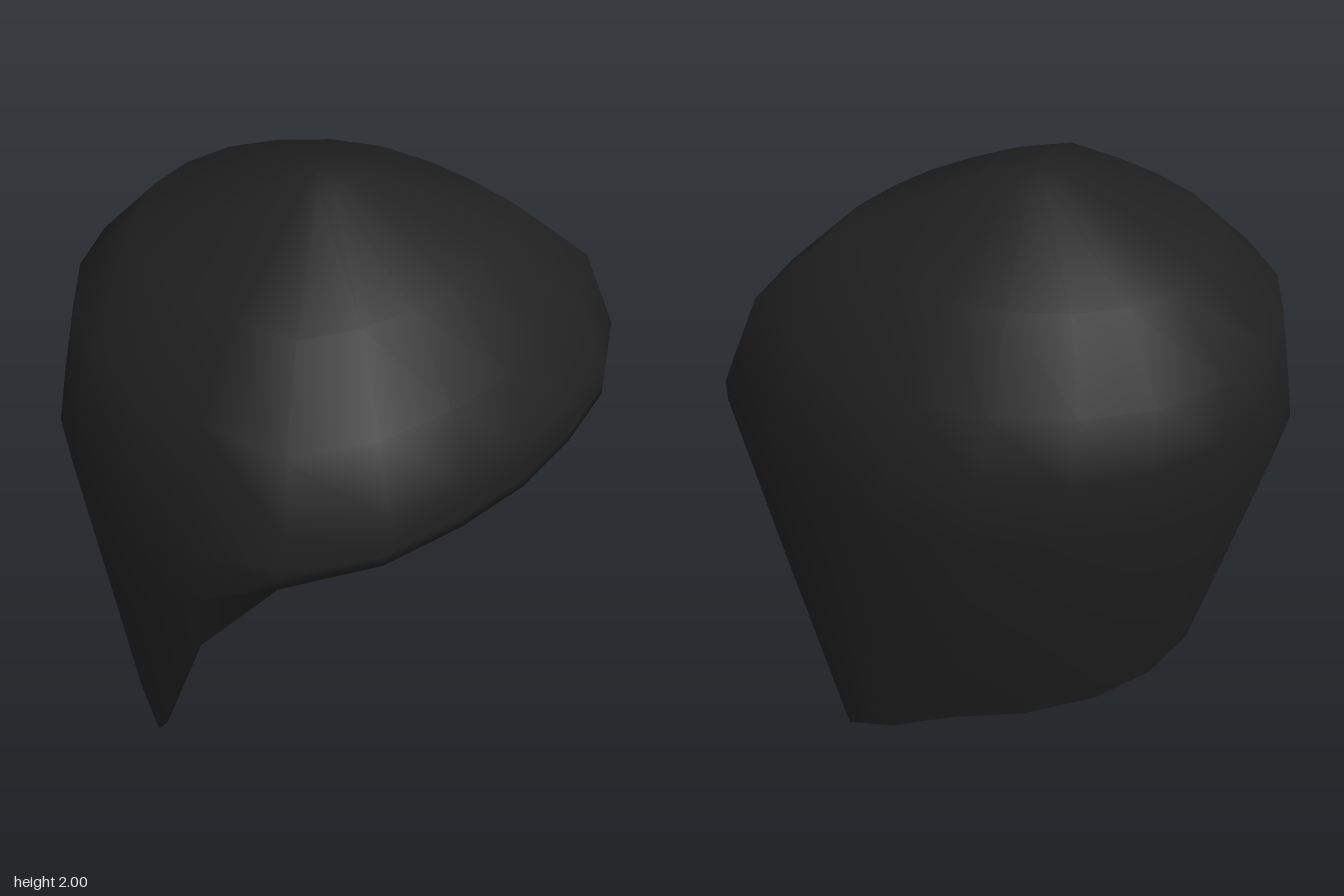
import * as THREE from 'three';

// Half outline at the widest level, from back centre round to front centre: [x, z]
const OUTLINE = [[0, -0.92], [0.3, -0.88], [0.56, -0.75], [0.785, -0.55], [0.93, -0.3], [0.975, 0],
  [0.965, 0.29], [0.91, 0.65], [0.61, 0.82], [0.3, 0.89], [0, 0.918]];

// Lower rim below each outline point: [x, y, z]
const RIM = [[0, 0.125, -0.64], [0.25, 0.125, -0.6], [0.5, 0.125, -0.48], [0.7, 0.115, -0.31],
  [0.86, 0.06, -0.15], [0.93, 0, 0.02], [0.955, 0.66, 0.3], [0.91, 1.14, 0.65],
  [0.61, 1.14, 0.82], [0.3, 1.14, 0.89], [0, 1.14, 0.918]];

// Levels from crown to widest ring: [y, x scale, front z scale, back z scale]
const LEVELS = [[2, 0.13, 0.14, 0.16], [1.785, 0.615, 0.63, 0.72], [1.545, 0.87, 0.89, 0.97],
  [1.31, 0.945, 1, 0.985], [1.1, 1, 1, 1]];

// Mirror a half row of points into a full loop
function mirrorRow(half) {
  const other = half.slice(1, -1).reverse().map(([x, y, z]) => [-x, y, z]);
  return [...half, ...other];
}

function outerRows() {
  const rows = LEVELS.map(([y, sx, sf, sb]) => mirrorRow(OUTLINE.map(([x, z], i) =>
    // the front columns end at the brow, so their last level stays above it
    [x * sx, i >= 7 ? Math.max(y, 1.22) : y, z * (z > 0 ? sf : sb)])));
  const last = rows[rows.length - 1], rim = mirrorRow(RIM);
  // a middle row, then the rim itself
  rows.push(last.map((p, i) => p.map((v, k) => (v + rim[i][k]) / 2)));
  rows.push(rim);
  return rows;
}

function shellGeometry() {
  const outer = outerRows();
  // lining: the same rows pulled inward, running from rim to crown
  const inner = outer.map((row, r) => row.map(([x, y, z]) =>
    [x * 0.95, r < 5 && y > 1.22 ? 1.22 + (y - 1.22) * 0.94 : y, z * 0.95])).reverse();
  const rows = [...outer, ...inner];
  const n = rows[0].length;
  const positions = rows.flat(2);
  const index = [];
  for (let r = 0; r < rows.length - 1; r++) {
    for (let i = 0; i < n; i++) {
      const j = (i + 1) % n;
      const a = r * n + i, b = r * n + j, c = a + n, d = b + n;
      index.push(a, b, c, b, d, c);
    }
  }
  // crown caps, outside and inside
  const top = rows.length * n, under = top + 1, base = (rows.length - 1) * n;
  positions.push(0, 2, -0.01, 0, 1.22 + 0.78 * 0.94, -0.01);
  for (let i = 0; i < n; i++) {
    const j = (i + 1) % n;
    index.push(top, j, i, under, base + i, base + j);
  }
  const geometry = new THREE.BufferGeometry();
  geometry.setAttribute('position', new THREE.Float32BufferAttribute(positions, 3));
  geometry.setIndex(index);
  geometry.computeVertexNormals();
  return geometry;
}

export function createModel() {
  const model = new THREE.Group();
  model.name = 'cap';
  const charcoal = new THREE.MeshStandardMaterial({ color: 0x202020 });
  charcoal.name = 'charcoal';
  const shell = new THREE.Mesh(shellGeometry(), charcoal);
  shell.name = 'capShell';
  model.add(shell);
  return model;
}
